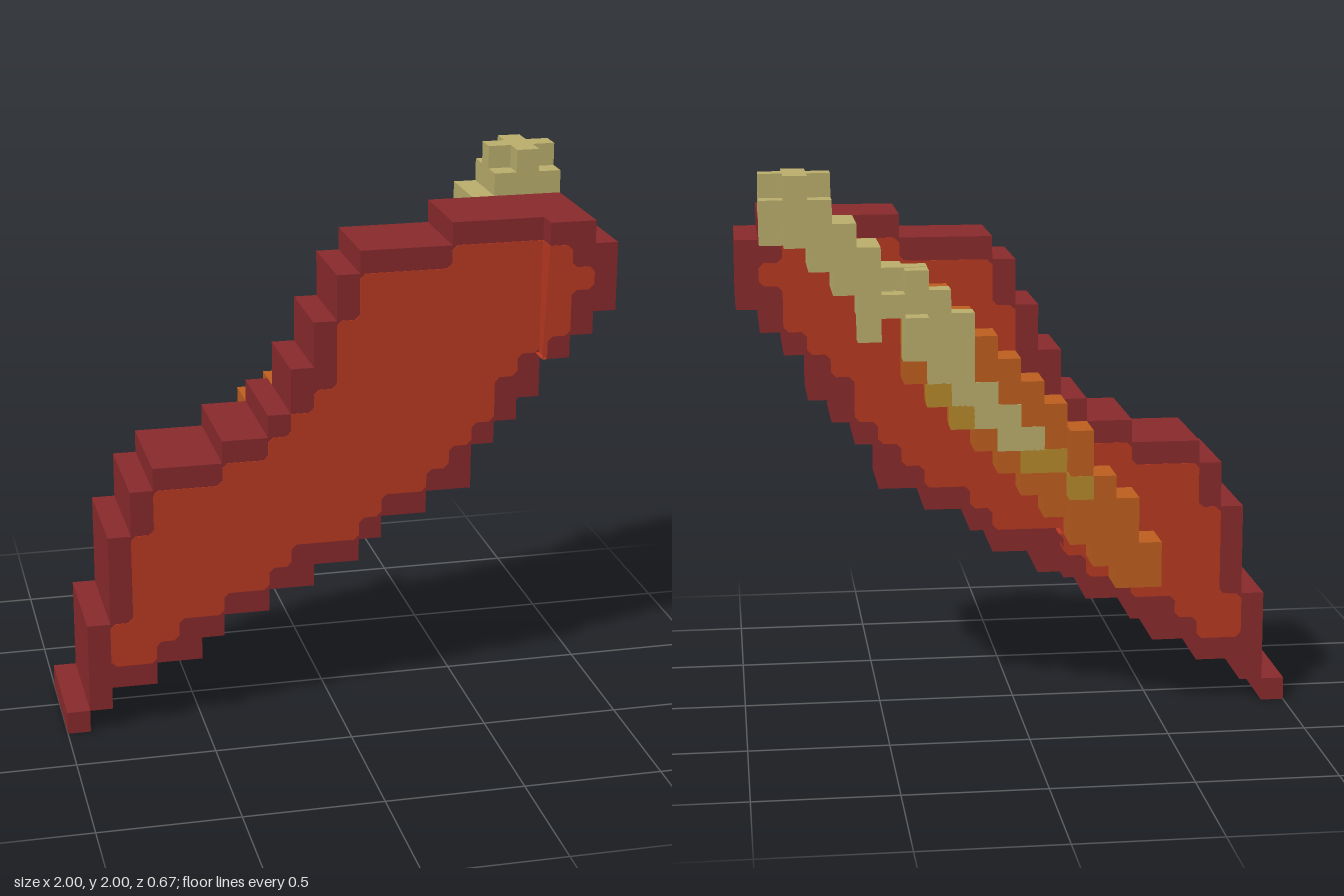
import * as THREE from 'three';
import { mergeGeometries } from 'three/addons/utils/BufferGeometryUtils.js';

const U = 1 / 12; // one block
const mat = (name, color) => {
  const m = new THREE.MeshStandardMaterial({ color });
  m.name = name;
  return m;
};

// [first column, end column] for each row, from the bottom
const SHEATH = [[1, 2], [1, 4], [1, 6], [1, 7], [2, 9], [2, 11], [2, 13], [2, 14], [3, 16], [3, 18], [4, 18],
  [7, 19], [9, 20], [10, 21], [10, 21], [11, 22], [11, 23], [12, 24], [12, 24], [13, 24], [17, 23]];
const PANEL = [[2, 4], [2, 5], [3, 7], [3, 9], [3, 10], [3, 13], [4, 14], [4, 16], [7, 17],
  [9, 18], [10, 19], [11, 19], [12, 20], [12, 21], [12, 22], [13, 22], [13, 23], [17, 22]];

// Stepped slab cut to columns c0..c1 and layers k0..k1; cut trims its corners
function slab(rows, firstRow, c0, c1, k0, k1, cut = 0) {
  const left = [], right = [];
  rows.forEach(([a, b], i) => {
    const s = Math.max(a, c0), e = Math.min(b, c1), r = firstRow + i;
    if (s >= e) return;
    left.push([s, r], [s, r + 1]);
    right.push([e, r], [e, r + 1]);
  });
  let pts = [...left, ...right.reverse()];
  // drop repeated and in-line points
  pts = pts.filter((p, i) => {
    const q = pts[(i + 1) % pts.length];
    return p[0] !== q[0] || p[1] !== q[1];
  });
  pts = pts.filter((p, i) => {
    const a = pts[(i + pts.length - 1) % pts.length], b = pts[(i + 1) % pts.length];
    return (p[0] - a[0]) * (b[1] - p[1]) !== (p[1] - a[1]) * (b[0] - p[0]);
  });
  const out = [];
  pts.forEach((p, i) => {
    if (!cut || p[0] === c0 || p[0] === c1) return out.push(p);
    for (const q of [pts[(i + pts.length - 1) % pts.length], pts[(i + 1) % pts.length]]) {
      const d = Math.hypot(q[0] - p[0], q[1] - p[1]);
      out.push([p[0] + (q[0] - p[0]) / d * cut, p[1] + (q[1] - p[1]) / d * cut]);
    }
  });
  const shape = new THREE.Shape(out.map(([c, r]) => new THREE.Vector2(-1 + c * U, r * U)));
  return new THREE.ExtrudeGeometry(shape, { depth: (k1 - k0) * U, bevelEnabled: false })
    .translate(0, 0, (k0 - 4) * U);
}

// Box over whole blocks, end values excluded
function box(c0, c1, r0, r1, k0, k1, grow = 0) {
  return new THREE.BoxGeometry((c1 - c0 + grow) * U, (r1 - r0 + grow) * U, (k1 - k0 + grow) * U)
    .translate(-1 + (c0 + c1) / 2 * U, (r0 + r1) / 2 * U, ((k0 + k1) / 2 - 4) * U);
}
const cell = (c, r, k, grow = 0.04) => box(c, c + 1, r, r + 1, k, k + 1, grow);

export function createModel() {
  const group = new THREE.Group();
  const add = (name, parts, material) => {
    const mesh = new THREE.Mesh(mergeGeometries(parts), material);
    mesh.name = name;
    group.add(mesh);
  };
  const dark = mat('dark red', 0x8b2b2d), red = mat('red', 0xbb3a22);
  const orange = mat('orange', 0xc0601f), tan = mat('tan', 0xbdb06e), gold = mat('gold', 0xb88a2a);

  // Sheath: a tail set further back, a middle, and a thicker mouth in front
  add('sheathRim', [
    slab(SHEATH, 1, 0, 10, 2, 7),
    slab(SHEATH, 1, 10, 24, 3, 7),
    slab(SHEATH, 1, 21, 24, 3, 8),
  ], dark);
  add('sheathTip', [box(0, 1, 0, 1, 2, 7)], dark);

  // Inner panel showing on both sides
  const e = 0.03;
  add('sheathPanel', [
    slab(PANEL, 3, 0, 10 + e, 2 - e, 7 + e, 0.22),
    slab(PANEL, 3, 10, 24, 3 - e, 7 + e, 0.22),
    slab(PANEL, 3, 21 - e, 24, 3 - e, 8 + e, 0.22),
  ], red);

  // Diagonal strap on the back: pointed end, then the long band
  const strap = [box(6, 7, 6, 8, 0, 2), box(7, 8, 6, 10, 0, 2), box(8, 9, 7, 11, 0, 2), box(9, 10, 8, 13, 0, 2)];
  for (let c = 10; c <= 16; c++) strap.push(box(c, c + 1, c - 1, Math.min(c + 4, 19), 1, 3));
  add('strap', strap, orange);

  // Light inlay along the strap
  const inlay = [];
  for (let c = 11; c <= 16; c++) {
    inlay.push(cell(c, c + 1, 1));
    if (c > 11) inlay.push(cell(c, c, 1));
  }
  add('strapInlay', inlay, tan);
  add('strapStuds', [cell(9, 10, 0), cell(10, 11, 1), cell(11, 11, 1), cell(14, 13, 1), cell(15, 14, 1)], gold);

  // Guard blocks
  add('guard', [
    ...[[14, 16], [14, 17], [15, 17], [15, 18], [16, 18], [16, 19], [17, 18]].map(([c, r]) => cell(c, r, 1)),
    ...[[16, 17], [17, 18], [16, 19], [18, 17]].map(([c, r]) => cell(c, r, 0, 0)),
  ], tan);

  // Diagonal handle
  const handle = [];
  for (let c = 17; c <= 20; c++) {
    for (let r = c; r <= c + 2; r++) {
      for (let k = 0; k < 3; k++) {
        if (r >= 18 + (k === 2 ? 1 : 0) && r < 22 && (k || c > 17)) handle.push(cell(c, r, k, 0));
      }
    }
  }
  add('handle', handle, tan);

  // Pommel: a 3x3x3 cube without its eight corners
  add('pommel', [box(20, 23, 21, 24, 1, 2), box(20, 23, 22, 23, 0, 3), box(21, 22, 21, 24, 0, 3)], tan);
  return group;
}
